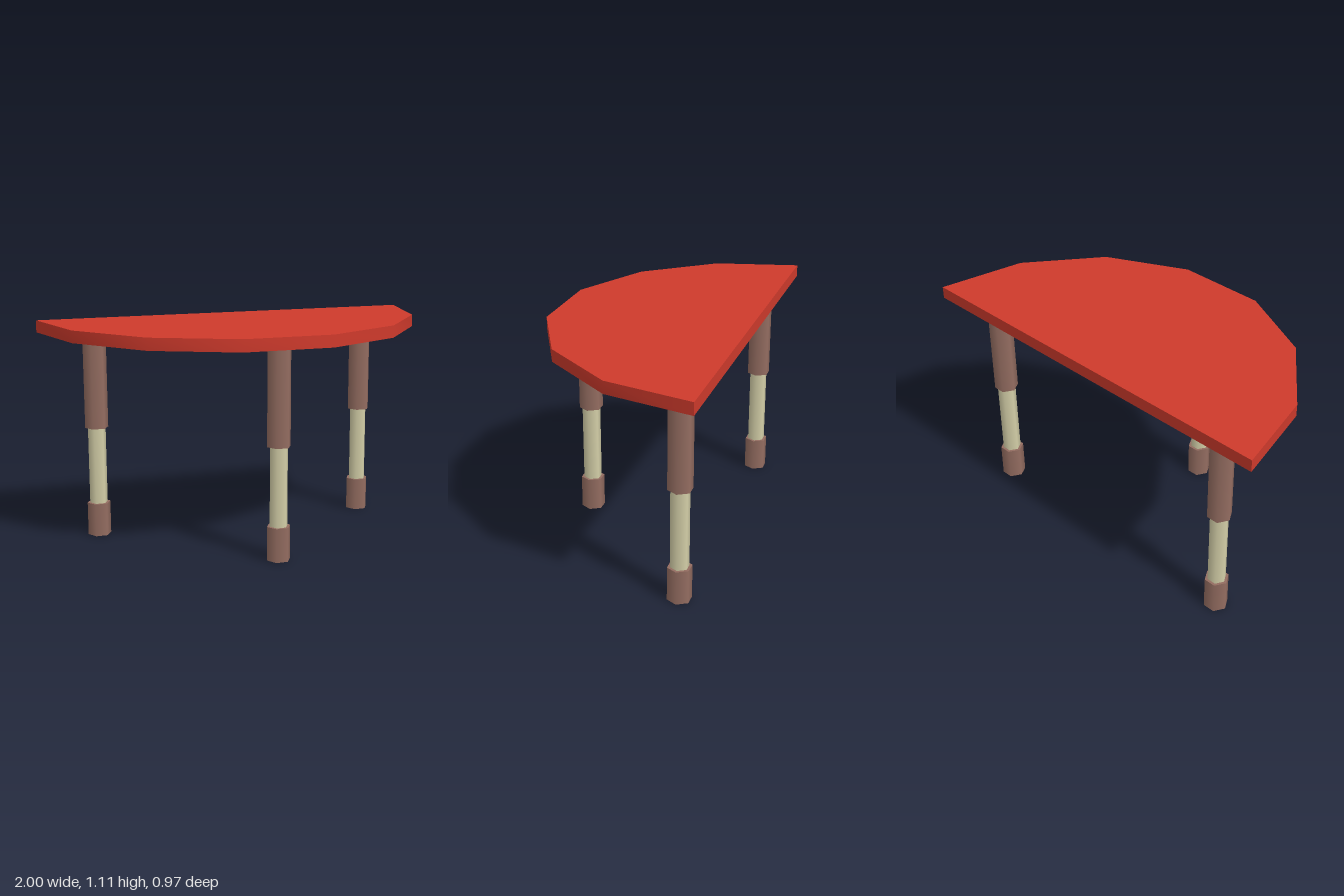
import * as THREE from 'three';
import { toCreasedNormals } from 'three/addons/utils/BufferGeometryUtils.js';

export function createModel() {
  const red = new THREE.MeshStandardMaterial({ name: 'red top', color: 0xcf3a2c });
  const brown = new THREE.MeshStandardMaterial({ name: 'brown sleeve', color: 0x946d61 });
  const cream = new THREE.MeshStandardMaterial({ name: 'cream pole', color: 0xd4cfa8 });
  const model = new THREE.Group();
  model.name = 'table';

  // Half-round tabletop: outline in x and z, mirrored about x = 0
  const half = [[1, -0.487], [0.9, -0.058], [0.622, 0.29], [0.223, 0.484]];
  const outline = [...half, ...half.map(([x, z]) => [-x, z]).reverse()];
  const shape = new THREE.Shape(outline.map(([x, z]) => new THREE.Vector2(x, z)));
  const slab = new THREE.ExtrudeGeometry(shape, { depth: 0.061, bevelEnabled: false });
  slab.rotateX(Math.PI / 2).translate(0, 1.113, 0);
  const top = new THREE.Mesh(toCreasedNormals(slab, 0.8), red);
  top.name = 'tabletop';
  model.add(top);

  // Six-sided column section between two heights
  const section = (name, radius, y0, y1, material) => {
    const geometry = new THREE.CylinderGeometry(radius, radius, y1 - y0, 6, 1, false, Math.PI / 6);
    const mesh = new THREE.Mesh(geometry, material);
    mesh.name = name;
    mesh.position.y = (y0 + y1) / 2;
    return mesh;
  };

  // Telescopic legs: one in front, two at the back
  const legs = [['frontLeg', 0, 0.352], ['leftLeg', 0.733, -0.352], ['rightLeg', -0.733, -0.352]];
  for (const [name, x, z] of legs) {
    const leg = new THREE.Group();
    leg.name = name;
    leg.position.set(x, 0, z);
    leg.add(
      section('foot', 0.06, 0, 0.171, brown),
      section('pole', 0.046, 0.171, 0.568, cream),
      section('upperSleeve', 0.06, 0.568, 1.052, brown),
    );
    model.add(leg);
  }
  return model;
}
